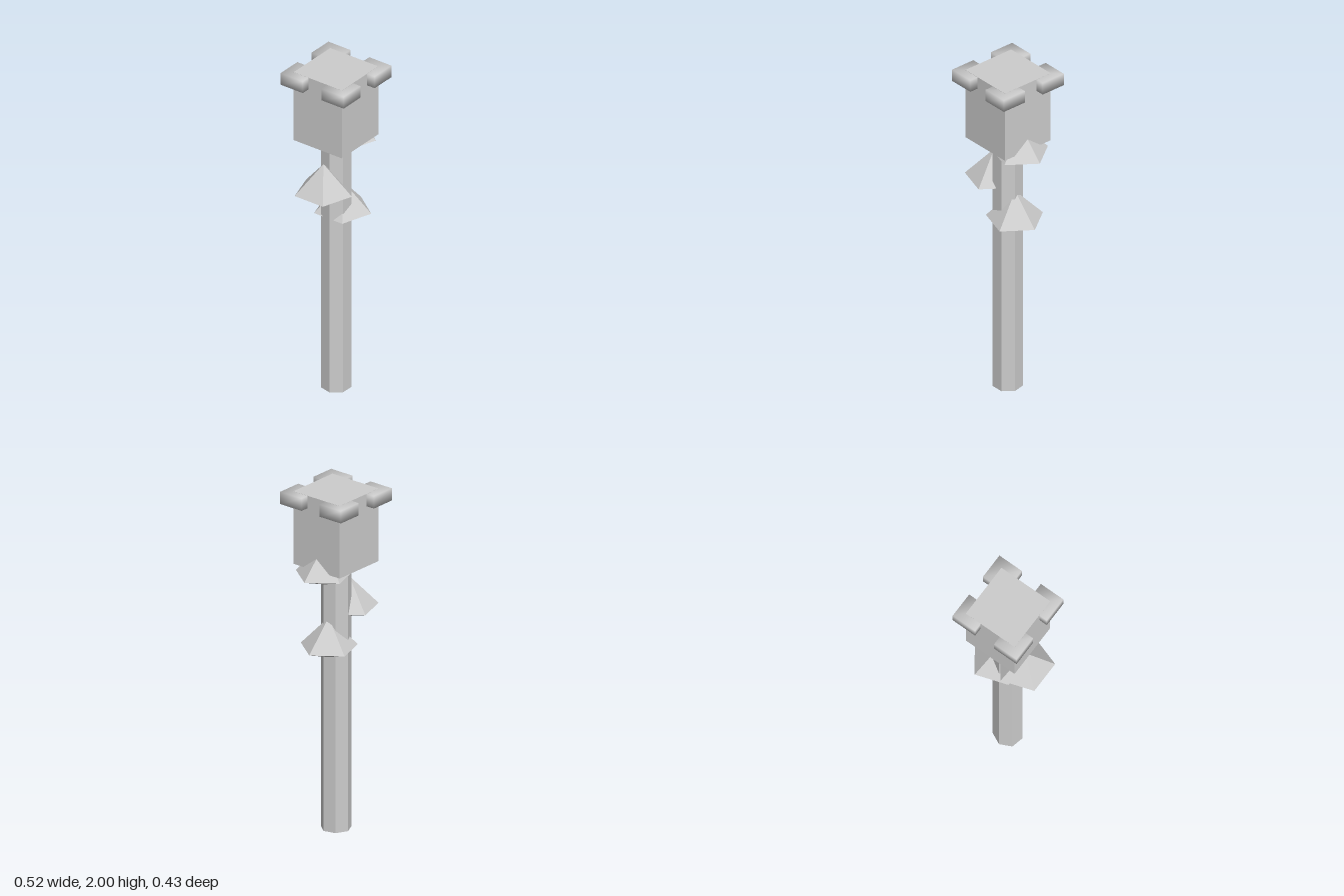
import * as THREE from 'three';
import { mergeVertices } from 'three/addons/utils/BufferGeometryUtils.js';

const CX = -0.011;

// Faceted normals
function faceted(geometry) {
  const g = geometry.toNonIndexed();
  g.computeVertexNormals();
  return g;
}

// Box whose normals are averaged at its corners
function softBox(w, h, d) {
  const box = new THREE.BoxGeometry(w, h, d);
  box.deleteAttribute('normal');
  box.deleteAttribute('uv');
  const g = mergeVertices(box);
  g.computeVertexNormals();
  return g;
}

export function createModel() {
  const model = new THREE.Group();
  model.name = 'spikedMace';
  const grey = new THREE.MeshStandardMaterial({ color: 0xcccccc });
  grey.name = 'grey';

  function add(name, geometry, x, y, z, parent = model) {
    const mesh = new THREE.Mesh(geometry, grey);
    mesh.name = name;
    mesh.position.set(x, y, z);
    parent.add(mesh);
    return mesh;
  }

  // Seven-sided shaft, one edge at the back
  const shaft = new THREE.CylinderGeometry(0.086, 0.086, 1.58, 7, 1, false, Math.PI);
  add('shaft', faceted(shaft), CX - 0.001, 0.79, 0);

  // Square head
  add('head', new THREE.BoxGeometry(0.331, 0.43, 0.331), CX, 1.785, -0.001);

  // Softly shaded corner blocks, just below the top face of the head
  const corner = softBox(0.152, 0.073, 0.153);
  for (const sx of [-1, 1]) {
    for (const sz of [-1, 1]) {
      const name = (sz > 0 ? 'front' : 'back') + (sx > 0 ? 'Left' : 'Right') + 'Corner';
      add(name, corner, CX + sx * 0.1405, 1.9627, -0.001 + sz * 0.1405);
    }
  }

  // Five-sided spikes: tall upper cone, shallow lower cone, one corner to +x
  const R = 0.165, UP = 0.175, DOWN = 0.061;
  const upper = new THREE.ConeGeometry(R, UP, 5, 1, true);
  upper.rotateY(Math.PI / 2).translate(0, UP / 2, 0);
  const lower = new THREE.ConeGeometry(R, DOWN, 5, 1, true);
  lower.rotateX(Math.PI).rotateY(-Math.PI / 2).translate(0, -DOWN / 2, 0);
  const upperFlat = faceted(upper), lowerFlat = faceted(lower);

  const spikes = [
    ['topSpike', 0.092, 1.533],
    ['middleSpike', -0.126, 1.278],
    ['bottomSpike', 0.05, 1.089],
  ];
  for (const [name, x, y] of spikes) {
    const spike = new THREE.Group();
    spike.name = name;
    spike.position.set(x, y, 0);
    add(name + 'Upper', upperFlat, 0, 0, 0, spike);
    add(name + 'Lower', lowerFlat, 0, 0, 0, spike);
    model.add(spike);
  }

  return model;
}
